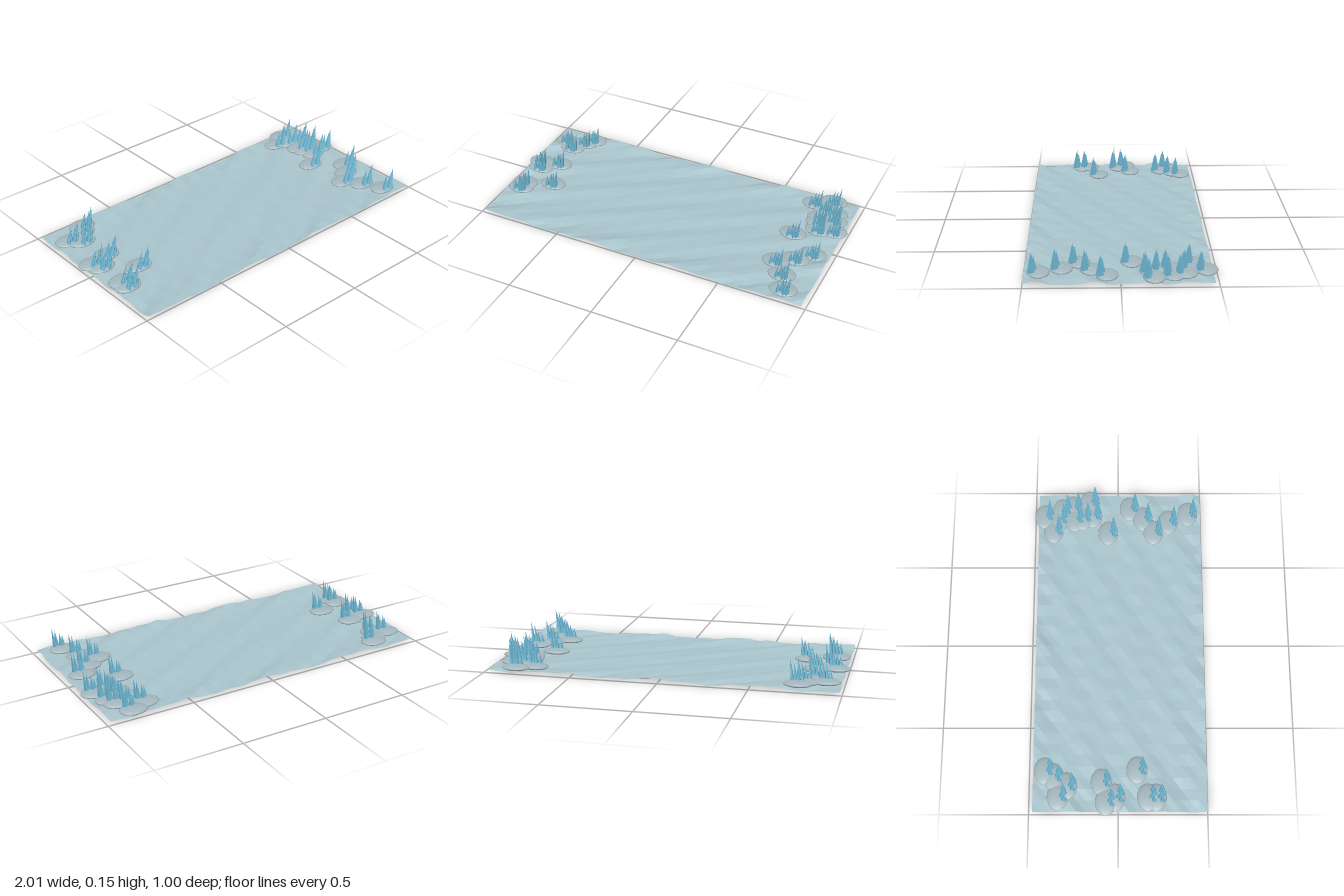
import * as THREE from 'three';

// Centres of the crystal clusters [x, z]; each sits on its own mound
const CLUSTERS = [
  [-0.89, -0.31], [-0.745, -0.385], [-0.83, -0.26], [-0.78, -0.335],
  [-0.92, -0.04], [-0.895, 0.01], [-0.81, -0.065],
  [-0.895, 0.195], [-0.895, 0.243], [-0.74, 0.136],
  [0.84, -0.415], [0.745, -0.36], [0.82, -0.33], [0.88, -0.307],
  [0.90, -0.243], [0.82, -0.232], [0.83, -0.185], [0.847, -0.126], [0.933, -0.142],
  [0.73, -0.03], [0.895, 0.10], [0.826, 0.18], [0.735, 0.243], [0.805, 0.334], [0.858, 0.452],
];

// Spikes in one cluster: [dx, dz, height, lean in x], rising to +x
const SPIKES = [
  [-0.032, 0.006, 0.07, 0.006],
  [-0.014, -0.006, 0.095, 0.010],
  [0.004, 0.008, 0.11, 0.014],
  [0.020, 0.002, 0.13, 0.018],
];

function material(color, flat, extra = {}) {
  return new THREE.MeshStandardMaterial({ color, flatShading: flat, ...extra });
}

// Rippled sheet: calm in the middle, rougher and higher near the rim
function groundHeight(x, z) {
  const rim = THREE.MathUtils.smoothstep(Math.max(Math.abs(x) / 0.98, Math.abs(z) / 0.49), 0.6, 1);
  const ripple = 0.5 * Math.sin(x * 11 + z * 23)
    + 0.3 * Math.sin(x * 27 + z * 41 + 1.3)
    + 0.2 * Math.sin(x * 47 - z * 17 + 0.6);
  return 0.016 + 0.006 * rim + ripple * (0.006 + 0.009 * rim);
}

function makeGround() {
  const geo = new THREE.PlaneGeometry(1.963, 0.98, 30, 20).rotateX(-Math.PI / 2);
  const p = geo.attributes.position;
  for (let i = 0; i < p.count; i++) p.setY(i, groundHeight(p.getX(i), p.getZ(i)));
  const mesh = new THREE.Mesh(geo, material(0xa9c4cc, true, { side: THREE.DoubleSide }));
  mesh.position.set(-0.005, 0, 0.01);
  mesh.name = 'ground';
  return mesh;
}

// Slim five-sided spike with its base at the origin, sheared towards +x
function spikeGeometry(height, lean) {
  const geo = new THREE.ConeGeometry(1, height, 5).translate(0, height / 2, 0);
  geo.scale(0.013, 1, 0.021);
  const p = geo.attributes.position;
  for (let i = 0; i < p.count; i++) p.setX(i, p.getX(i) + lean * p.getY(i) / height);
  return geo;
}

export function createModel() {
  const model = new THREE.Group();
  model.name = 'frozenGround';
  model.add(makeGround());

  const moundGeo = new THREE.SphereGeometry(1, 20, 12).scale(0.08, 0.016, 0.06);
  const moundMat = material(0xa3b6bc, false);
  const spikeMat = material(0x6cb6d2, true);
  const spikeGeos = SPIKES.map(([, , h, lean]) => spikeGeometry(h, lean));

  CLUSTERS.forEach(([x, z], i) => {
    const cluster = new THREE.Group();
    cluster.name = 'crystalCluster';
    cluster.position.set(x, 0.033, z);

    const mound = new THREE.Mesh(moundGeo, moundMat);
    mound.name = 'mound';
    mound.position.set(-0.012, 0.002 * Math.sin(i * 2.1), -0.03);
    cluster.add(mound);

    SPIKES.forEach(([dx, dz], k) => {
      const spike = new THREE.Mesh(spikeGeos[k], spikeMat);
      spike.name = 'crystalSpike';
      spike.position.set(dx, 0, dz);
      cluster.add(spike);
    });
    model.add(cluster);
  });
  return model;
}
